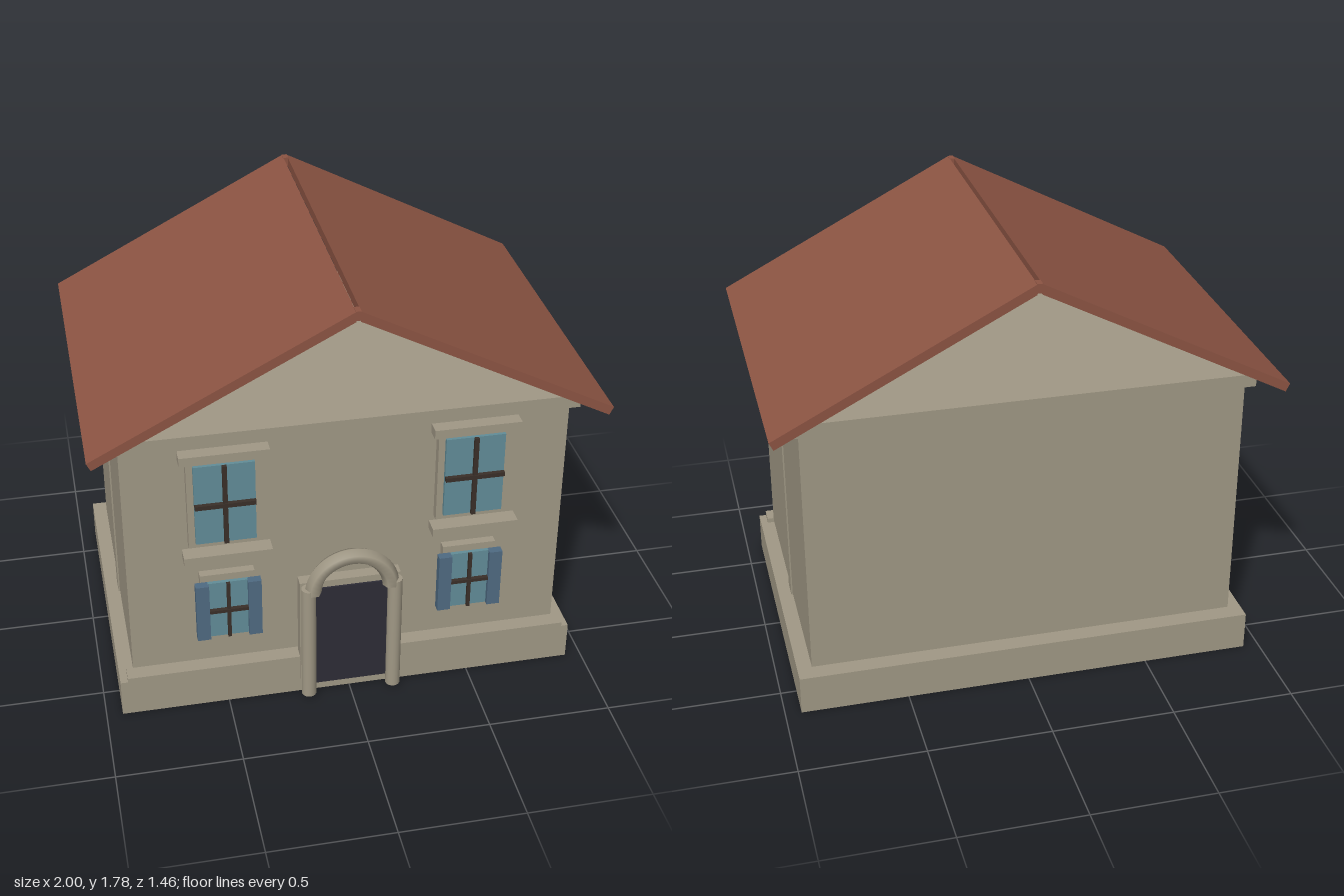
import * as THREE from 'three';

const mat = (name, color) => {
  const m = new THREE.MeshStandardMaterial({ color });
  m.name = name;
  return m;
};

export function createModel() {
  const stone = mat('stone', 0xa09885);
  const tile = mat('roofTile', 0x8c5443);
  const glass = mat('glass', 0x628d98);
  const shutterBlue = mat('shutterBlue', 0x4f6a82);
  const doorDark = mat('doorDark', 0x2d2c36);
  const bar = mat('windowBar', 0x3a2f29);

  const house = new THREE.Group();
  house.name = 'house';

  const add = (name, geometry, material, parent = house) => {
    const mesh = new THREE.Mesh(geometry, material);
    mesh.name = name;
    parent.add(mesh);
    return mesh;
  };
  // Box given by its limits on each axis
  const box = (name, [x0, x1], [y0, y1], [z0, z1], material, parent) => {
    const mesh = add(name, new THREE.BoxGeometry(x1 - x0, y1 - y0, z1 - z0), material, parent);
    mesh.position.set((x0 + x1) / 2, (y0 + y1) / 2, (z0 + z1) / 2);
    return mesh;
  };
  const wide = (h) => [-h, h];

  // Body
  box('plinth', wide(0.935), [0, 0.16], wide(0.645), stone);
  box('walls', wide(0.877), [0.168, 1.213], wide(0.583), stone);
  box('cornice', wide(0.91), [1.212, 1.265], wide(0.615), stone);
  box('frontLedge', wide(0.905), [0.16, 0.18], [0.575, 0.648], stone);

  for (const s of [-1, 1]) {
    // Side pilaster
    const edge = [0.87 * s, 0.883 * s].sort((a, b) => a - b);
    box('sidePilaster', edge, [0.16, 1.213], wide(0.04), stone);

    // Roof slope, open underneath, with a narrow gap at the ridge
    const slope = new THREE.Shape([
      [0.009, 1.781], [1, 1.267], [0.984, 1.235], [0.009, 1.74],
    ].map(([x, y]) => new THREE.Vector2(x * s, y)));
    const roof = new THREE.ExtrudeGeometry(slope, { depth: 1.456, bevelEnabled: false });
    add('roofSlope', roof, tile).position.z = -0.728;

    // Dark pegs in the eave
    for (const z of [-0.65, 0.655]) {
      const peg = add('eavePeg', new THREE.CylinderGeometry(0.013, 0.013, 0.03, 8), bar);
      peg.rotation.z = Math.PI / 2;
      peg.position.set(0.981 * s, 1.251, z);
    }
  }

  // Ridge end pieces
  for (const z of [-0.709, 0.709]) {
    box('ridgeEnd', wide(0.011), [1.745, 1.782], [z - 0.019, z + 0.019], tile);
  }

  // Doorway
  const doorway = new THREE.Group();
  doorway.name = 'doorway';
  house.add(doorway);
  box('doorSurround', wide(0.205), [0.02, 0.55], [0.6, 0.65], stone, doorway);
  box('door', wide(0.15), [0.04, 0.52], [0.65, 0.658], doorDark, doorway);
  for (const x of [-0.175, 0.175]) {
    const column = add('doorColumn', new THREE.CylinderGeometry(0.03, 0.03, 0.53, 16), stone, doorway);
    column.position.set(x, 0.28, 0.68);
  }
  const arch = add('doorArch', new THREE.TorusGeometry(0.157, 0.034, 6, 24, Math.PI), stone, doorway);
  arch.position.set(0, 0.521, 0.68);

  // Glass with a cross of bars
  const pane = (w, [y0, y1], barWidth, mid, parent) => {
    box('glass', wide(w), [y0, y1], [0.63, 0.645], glass, parent);
    box('uprightBar', wide(barWidth), [y0, y1], [0.645, 0.659], bar, parent);
    box('crossBar', wide(w), [mid - barWidth, mid + barWidth], [0.645, 0.662], bar, parent);
  };

  for (const x of [-0.489, 0.489]) {
    // Upper window
    const upper = new THREE.Group();
    upper.name = 'upperWindow';
    upper.position.x = x;
    house.add(upper);
    box('frame', wide(0.144), [0.768, 1.175], [0.595, 0.63], stone, upper);
    pane(0.118, [0.795, 1.145], 0.009, 0.97, upper);
    box('lintel', wide(0.172), [1.17, 1.208], [0.615, 0.67], stone, upper);
    box('sill', wide(0.172), [0.735, 0.77], [0.63, 0.697], stone, upper);

    // Lower window with shutters
    const lower = new THREE.Group();
    lower.name = 'lowerWindow';
    lower.position.x = x;
    house.add(lower);
    box('frame', wide(0.108), [0.31, 0.63], [0.595, 0.63], stone, lower);
    pane(0.08, [0.34, 0.6], 0.007, 0.47, lower);
    box('shutter', [-0.13, -0.077], [0.34, 0.6], [0.63, 0.664], shutterBlue, lower);
    box('shutter', [0.077, 0.13], [0.34, 0.6], [0.63, 0.664], shutterBlue, lower);
  }

  return house;
}
